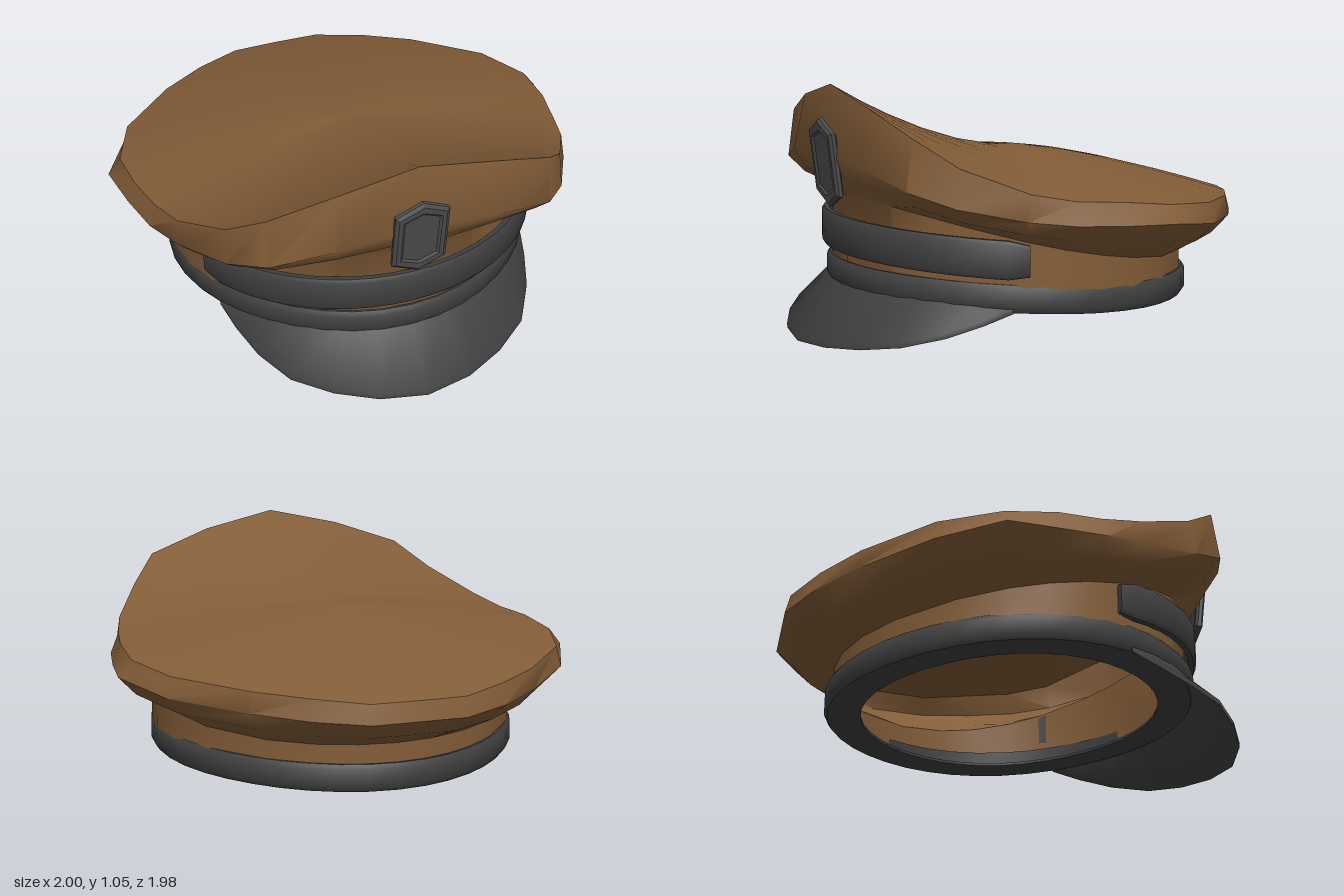
import * as THREE from 'three';
import { toCreasedNormals } from 'three/addons/utils/BufferGeometryUtils.js';

const V = (x, y, z) => new THREE.Vector3(x, y, z);
const brown = new THREE.MeshStandardMaterial({ color: 0x835d38, side: THREE.DoubleSide });
const black = new THREE.MeshStandardMaterial({ color: 0x404040 });
const grey = new THREE.MeshStandardMaterial({ color: 0x4c4c4c });

// Skin over columns of points; columns run from +z towards +x, each going up the outside.
function loft(cols, { ring = false, loop = false } = {}) {
  const n = cols.length, m = cols[0].length, index = [];
  const at = (i, j) => (i % n) * m + (j % m);
  for (let i = 0; i < (ring ? n : n - 1); i++) {
    for (let j = 0; j < (loop ? m : m - 1); j++) {
      const a = at(i, j), b = at(i + 1, j), c = at(i + 1, j + 1), d = at(i, j + 1);
      index.push(a, b, c, a, c, d);
    }
  }
  // end caps for open solids
  if (loop && !ring) {
    for (let j = 1; j < m - 1; j++) {
      index.push(at(0, 0), at(0, j), at(0, j + 1));
      index.push(at(n - 1, 0), at(n - 1, j + 1), at(n - 1, j));
    }
  }
  const g = new THREE.BufferGeometry().setFromPoints(cols.flat());
  g.setIndex(index);
  g.computeVertexNormals();
  return g;
}

// Profile of [radius, y] at one angle, raised towards the front by the tilt.
const column = (profile, a, tilt) => profile.map(([r, y]) =>
  V(r * Math.sin(a), y + tilt * r * Math.cos(a), r * Math.cos(a)));

// The head opening is slightly flattened on its diagonals.
const flatten = a => 1 - 0.022 * Math.sin(2 * a) ** 2;

// Half outline from front to back, mirrored to a full ring.
function mirrorRing(half) {
  const pts = half.map(p => V(...p));
  const other = pts.slice(1, -1).reverse().map(p => V(-p.x, p.y, p.z));
  return [...pts, ...other];
}

function hexShape(w, h, shoulder, Type = THREE.Shape) {
  return new Type([[0, -h], [w, -shoulder], [w, shoulder], [0, h], [-w, shoulder], [-w, -shoulder]]
    .map(p => new THREE.Vector2(...p)));
}

export function createModel() {
  const model = new THREE.Group();
  const add = (name, geometry, material, parent = model) => {
    const mesh = new THREE.Mesh(geometry, material);
    mesh.name = name;
    parent.add(mesh);
    return mesh;
  };

  // Crown: upper seam and widest edge
  const upper = mirrorRing([
    [0, 1.055, 0.82], [0.32, 0.985, 0.8], [0.6, 0.89, 0.74], [0.72, 0.78, 0.6], [0.85, 0.68, 0.36],
    [0.9, 0.645, 0.18], [0.935, 0.635, 0], [0.945, 0.61, -0.22], [0.85, 0.585, -0.47],
    [0.6, 0.56, -0.73], [0.4, 0.545, -0.87], [0.2, 0.53, -0.97], [0, 0.53, -0.975]]);
  const outer = mirrorRing([
    [0, 0.77, 0.85], [0.35, 0.75, 0.845], [0.6, 0.685, 0.77], [0.73, 0.625, 0.62], [0.86, 0.575, 0.38],
    [0.93, 0.555, 0.2], [0.97, 0.545, 0], [1, 0.54, -0.22], [0.87, 0.5, -0.48],
    [0.61, 0.475, -0.74], [0.41, 0.46, -0.89], [0.2, 0.45, -0.99], [0, 0.45, -0.99]]);

  // Top panel, dipping behind the raised front
  const apex = 0.757;
  add('crownTop', loft(upper.map(p => {
    const power = p.z > 0.5 ? 1.65 : 1.4;
    return [1, 0.85, 0.7, 0.5, 0.3, 0.1, 0].map(s =>
      V(p.x * s, apex + (p.y - apex) * s ** power, p.z * s));
  }), { ring: true }), brown);

  // Rim and flared underside, narrowing to the head band
  add('crownSide', toCreasedNormals(loft(outer.map((o, i) => {
    const a = Math.atan2(o.x, o.z), c = Math.cos(a);
    const x = 0.785 * flatten(a) * Math.sin(a), z = 0.757 * flatten(a) * c;
    const base = V(x, 0.2 + 0.045 * c, z);
    const neck = V(x, 0.4 + 0.145 * c + 0.055 * c * c, z);
    const flare = o.clone().lerp(neck, 0.33);
    flare.y -= 0.025;
    return [base, neck, flare, o, upper[i]];
  }), { ring: true }), 0.95), brown);

  // Rolled trim around the opening
  const trim = [[0.635, 0.163], [0.775, 0.163], [0.79, 0.185], [0.79, 0.255],
    [0.775, 0.275], [0.765, 0.275], [0.765, 0.185], [0.635, 0.175]];
  const trimCols = [];
  for (let i = 0; i < 40; i++) {
    const a = i / 40 * Math.PI * 2;
    trimCols.push(column(trim.map(([r, y]) => [r * flatten(a), y]), a, 0.055));
  }
  add('bottomTrim', toCreasedNormals(loft(trimCols, { ring: true, loop: true }), 0.8), black);

  // Strap across the front, with softened ends
  const strapCols = [];
  const steps = 22, reach = 1.185;
  for (let i = 0; i <= steps; i++) {
    const k = i === 0 || i === steps ? 0.015 : 0;
    const a = (i / steps * 2 - 1) * reach;
    const lo = 0.29 + k, hi = 0.445 - k, out = 0.8 - k * 0.3;
    strapCols.push(column([[0.768, lo], [out - 0.01, lo], [out, lo + 0.015],
      [out, hi - 0.015], [out - 0.01, hi], [0.768, hi]], a, 0.08));
  }
  add('frontStrap', toCreasedNormals(loft(strapCols, { loop: true }), 0.8), black);

  // Sloping visor between the trim and its outer edge
  const edge = [[0, 0, 0.985], [0.2, 0.01, 0.95], [0.37, 0.027, 0.87], [0.52, 0.055, 0.76],
    [0.61, 0.093, 0.61], [0.66, 0.137, 0.47], [0.69, 0.18, 0.35]].map(p => V(...p));
  const visorEdge = [...edge.slice(1).reverse().map(p => V(-p.x, p.y, p.z)), ...edge];
  add('visor', toCreasedNormals(loft(visorEdge.map((o, i) => {
    const a = (i - 6) / 6 * 1.1;
    const inner = V(0.755 * Math.sin(a), 0.17 + 0.06 * Math.cos(a), 0.755 * Math.cos(a));
    const lift = V(0, 0.022, 0);
    return [inner, o, o.clone().add(lift), inner.clone().add(lift)];
  }), { loop: true }), 1), black);

  // Hexagonal badge: bevelled frame around a plate
  const badge = new THREE.Group();
  badge.name = 'badge';
  badge.position.set(0, 0.735, 0.837);
  badge.rotation.x = 0.12;
  const frame = hexShape(0.1, 0.17, 0.122);
  frame.holes.push(hexShape(0.082, 0.138, 0.104, THREE.Path));
  add('badgeFrame', new THREE.ExtrudeGeometry(frame, { depth: 0.015, bevelEnabled: true,
    bevelThickness: 0.01, bevelSize: 0.014, bevelSegments: 1 }), grey, badge);
  add('badgePlate', new THREE.ExtrudeGeometry(hexShape(0.085, 0.14, 0.105),
    { depth: 0.026, bevelEnabled: false }), grey, badge).position.z = -0.008;
  model.add(badge);

  return model;
}
